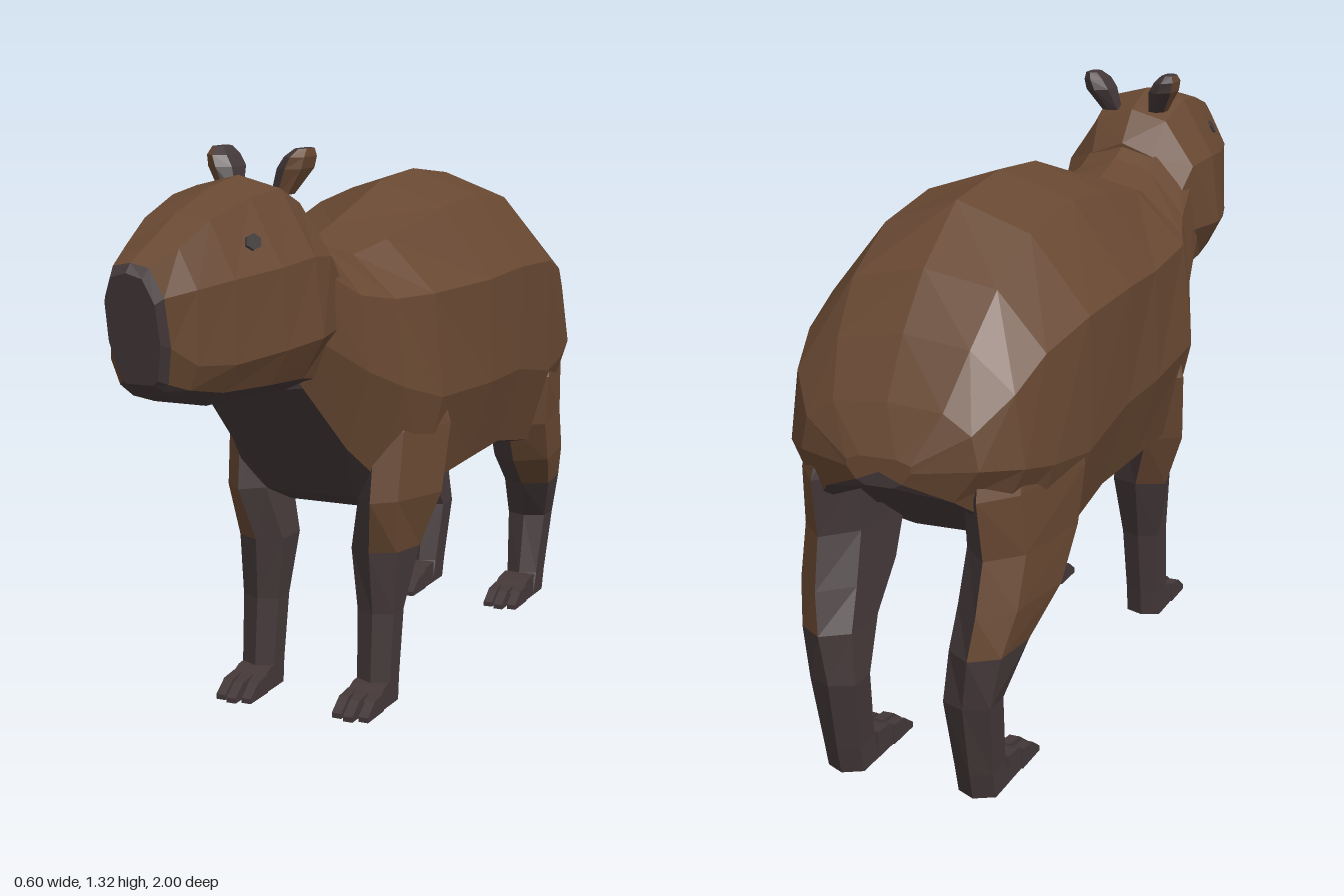
import * as THREE from 'three';

const mat = (name, color) => {
  const m = new THREE.MeshStandardMaterial({ color, flatShading: true });
  m.name = name;
  return m;
};

// Skin a list of rings; pick(i, j) gives the material index of each quad, i = -1 / last for the caps.
function loft(name, rings, materials, pick) {
  const buckets = materials.map(() => []);
  const n = rings[0].length;
  let volume = 0;
  const tri = (k, a, b, c) => {
    buckets[k].push([a, b, c]);
    volume += a.dot(b.clone().cross(c));
  };
  for (let i = 0; i < rings.length - 1; i++) {
    for (let j = 0; j < n; j++) {
      const a = rings[i][j], b = rings[i][(j + 1) % n];
      const c = rings[i + 1][(j + 1) % n], d = rings[i + 1][j];
      const k = pick(i, j);
      // diagonals mirror between the two halves of the ring
      if (j < n / 2) { tri(k, a, b, c); tri(k, a, c, d); }
      else { tri(k, a, b, d); tri(k, b, c, d); }
    }
  }
  const cap = (ring, i, reverse) => {
    const mid = ring.reduce((s, p) => s.add(p), new THREE.Vector3()).divideScalar(n);
    ring.forEach((p, j) => {
      const q = ring[(j + 1) % n];
      if (reverse) tri(pick(i, j), mid, q, p);
      else tri(pick(i, j), mid, p, q);
    });
  };
  cap(rings[0], -1, true);
  cap(rings[rings.length - 1], rings.length - 1, false);

  const positions = [];
  const geometry = new THREE.BufferGeometry();
  buckets.forEach((tris, k) => {
    const start = positions.length / 3;
    for (const [a, b, c] of tris) {
      for (const p of volume < 0 ? [a, c, b] : [a, b, c]) positions.push(p.x, p.y, p.z);
    }
    geometry.addGroup(start, positions.length / 3 - start, k);
  });
  geometry.setAttribute('position', new THREE.Float32BufferAttribute(positions, 3));
  geometry.computeVertexNormals();
  const mesh = new THREE.Mesh(geometry, materials);
  mesh.name = name;
  return mesh;
}

// Symmetric ring of 12 points: [z, topY, then five x,y pairs down the side]; tilt leans it with height.
function bodyRing([z, top, ...side], tilt = 0) {
  const at = (x, y) => new THREE.Vector3(x, y, z + tilt * (y - 1));
  const half = [];
  for (let i = 0; i < side.length; i += 2) half.push([side[i], side[i + 1]]);
  return [
    at(0, top),
    ...half.map(([x, y]) => at(x, y)),
    at(0, half[half.length - 1][1]),
    ...half.reverse().map(([x, y]) => at(-x, y)),
  ];
}

// Six-sided leg ring: [y, frontZ, backZ, innerX, outerX at the front, outerX at the back]
function legRing([y, front, back, inner, outerF, outerB], side) {
  const d = (front - back) * 0.2;
  return [
    [inner, front - d], [(inner + outerF) / 2, front], [outerF, front - d],
    [outerB, back + d], [(inner + outerB) / 2, back], [inner, back + d],
  ].map(([x, z]) => new THREE.Vector3(x * side, y, z));
}

// Side profile of [forward, up] points, extruded across x and centred
function wedge(points, width) {
  const shape = new THREE.Shape(points.map(([a, b]) => new THREE.Vector2(a, b)));
  return new THREE.ExtrudeGeometry(shape, { depth: width, bevelEnabled: false })
    .translate(0, 0, -width / 2).rotateY(-Math.PI / 2);
}

export function createModel() {
  const fur = mat('brown fur', 0x684832);
  const dark = mat('dark skin', 0x443839);
  const eyeMat = mat('eye', 0x423d3c);
  const coat = [fur, dark];
  const model = new THREE.Group();
  model.name = 'capybara';

  // Body from neck to rump, dark along the underside
  const bodyRows = [
    [0.5, 1.2, 0.08, 1.18, 0.15, 1.08, 0.16, 0.92, 0.13, 0.81, 0.06, 0.8],
    [0.31, 1.12, 0.09, 1.095, 0.18, 0.99, 0.2, 0.82, 0.145, 0.64, 0.09, 0.6],
    [0.2, 1.09, 0.11, 1.065, 0.215, 0.97, 0.24, 0.77, 0.175, 0.55, 0.11, 0.5],
    [0.08, 1.12, 0.14, 1.09, 0.26, 0.97, 0.283, 0.73, 0.23, 0.51, 0.11, 0.45],
    [-0.2, 1.2, 0.165, 1.14, 0.288, 0.97, 0.297, 0.72, 0.24, 0.525, 0.11, 0.445],
    [-0.4, 1.215, 0.17, 1.16, 0.3, 0.98, 0.297, 0.72, 0.24, 0.53, 0.11, 0.45],
    [-0.62, 1.19, 0.165, 1.13, 0.295, 0.97, 0.295, 0.68, 0.24, 0.49, 0.11, 0.465],
    [-0.78, 1.08, 0.16, 1.05, 0.265, 0.93, 0.282, 0.7, 0.23, 0.55, 0.1, 0.57],
    [-0.88, 0.97, 0.145, 0.95, 0.24, 0.87, 0.26, 0.72, 0.2, 0.6, 0.08, 0.65],
    [-0.955, 0.85, 0.12, 0.84, 0.18, 0.8, 0.195, 0.73, 0.14, 0.66, 0.06, 0.665],
    [-1.0, 0.75, 0.04, 0.75, 0.07, 0.74, 0.07, 0.725, 0.05, 0.7, 0.03, 0.69],
  ];
  const underside = (i, j) => (j >= 4 && j <= 7 ? 1 : 0);
  model.add(loft('body', bodyRows.map((r) => bodyRing(r)), coat, underside));

  // Head, dark under the jaw and on the blunt nose
  const headRows = [
    [0.36, 1.15, 0.08, 1.12, 0.155, 1.03, 0.165, 0.92, 0.13, 0.78, 0.06, 0.76],
    [0.43, 1.225, 0.09, 1.2, 0.165, 1.09, 0.175, 0.93, 0.14, 0.82, 0.07, 0.79],
    [0.54, 1.265, 0.1, 1.24, 0.18, 1.1, 0.2, 0.93, 0.15, 0.84, 0.09, 0.81],
    [0.66, 1.25, 0.09, 1.23, 0.165, 1.09, 0.175, 0.92, 0.135, 0.845, 0.08, 0.82],
    [0.8, 1.21, 0.075, 1.195, 0.13, 1.08, 0.135, 0.91, 0.1, 0.85, 0.06, 0.82],
    [0.9, 1.165, 0.06, 1.15, 0.1, 1.07, 0.1, 0.92, 0.08, 0.87, 0.05, 0.85],
    [0.958, 1.128, 0.04, 1.12, 0.066, 1.06, 0.068, 0.96, 0.052, 0.885, 0.04, 0.87],
    [0.98, 1.11, 0.035, 1.1, 0.056, 1.05, 0.058, 0.97, 0.042, 0.895, 0.03, 0.885],
  ];
  const last = headRows.length - 1;
  const headRings = headRows.map((r, i) => bodyRing(r, i >= last - 1 ? 0.2 : 0));
  model.add(loft('head', headRings, coat, (i, j) => (i >= last - 1 ? 1 : underside(i, j))));

  const frontLeg = [
    [0.8, 0.17, 0.0, 0.12, 0.22, 0.25], [0.66, 0.22, -0.02, 0.12, 0.225, 0.282],
    [0.5, 0.24, 0.01, 0.12, 0.22, 0.272], [0.37, 0.195, 0.045, 0.09, 0.205, 0.225],
    [0.22, 0.182, 0.085, 0.105, 0.198, 0.198], [0.06, 0.195, 0.105, 0.11, 0.195, 0.195],
    [0, 0.2, 0.11, 0.11, 0.195, 0.195],
  ];
  const hindLeg = [
    [0.84, -0.62, -0.88, 0.12, 0.27, 0.22], [0.66, -0.56, -0.945, 0.12, 0.292, 0.245],
    [0.53, -0.58, -0.922, 0.12, 0.28, 0.25], [0.42, -0.65, -0.95, 0.115, 0.268, 0.245],
    [0.33, -0.77, -0.967, 0.11, 0.237, 0.225], [0.22, -0.85, -0.96, 0.1, 0.205, 0.205],
    [0.06, -0.82, -0.93, 0.11, 0.195, 0.195], [0, -0.8, -0.915, 0.11, 0.195, 0.195],
  ];
  // Sloping foot and the short toes at its front
  const foot = wedge([[0, 0], [0.11, 0], [0.11, 0.03], [0.05, 0.055], [0, 0.06]], 0.085);
  const toe = wedge([[0.08, 0], [0.17, 0], [0.17, 0.012], [0.13, 0.04], [0.08, 0.045]], 0.024);

  // Ear rings: [y, centreX, centreZ, halfWidth, halfDepth]
  const earRows = [
    [1.22, 0.062, 0.455, 0.02, 0.028], [1.275, 0.083, 0.435, 0.029, 0.054],
    [1.3, 0.093, 0.432, 0.024, 0.052], [1.317, 0.1, 0.425, 0.014, 0.032],
  ];

  for (const side of [1, -1]) {
    const label = side > 0 ? 'left' : 'right';
    for (const [name, rows, furRows, footZ] of [
      ['FrontLeg', frontLeg, 3, 0.15], ['HindLeg', hindLeg, 4, -0.825],
    ]) {
      const leg = new THREE.Group();
      leg.name = label + name;
      leg.add(loft('leg', rows.map((r) => legRing(r, side)), coat,
        (i, j) => (i < furRows && j >= 1 && j <= 3 ? 0 : 1)));
      const addPart = (partName, geometry, offset) => {
        const m = new THREE.Mesh(geometry, dark);
        m.name = partName;
        m.position.set(side * 0.152 + offset * 0.034, 0, footZ - Math.abs(offset) * 0.012);
        leg.add(m);
      };
      addPart('foot', foot, 0);
      for (const t of [-1, 0, 1]) addPart('toe', toe, t);
      model.add(leg);
    }

    // Ear, with fur on the outer face
    const earRings = earRows.map(([y, x, z, w, d]) =>
      legRing([y, z + d, z - d, x - w, x + w, x + w], side));
    model.add(loft(label + 'Ear', earRings, coat, (i, j) => (i < 3 && (j === 1 || j === 2) ? 0 : 1)));

    // Eye plate lying on the cheek
    const eye = new THREE.Mesh(new THREE.CylinderGeometry(0.022, 0.022, 0.006, 6), eyeMat);
    eye.name = label + 'Eye';
    eye.scale.set(0.8, 1, 1.15);
    eye.position.set(side * 0.123, 1.146, 0.71);
    eye.quaternion.setFromUnitVectors(new THREE.Vector3(0, 1, 0),
      new THREE.Vector3(side * 0.87, 0.45, 0.21).normalize());
    model.add(eye);
  }
  return model;
}
